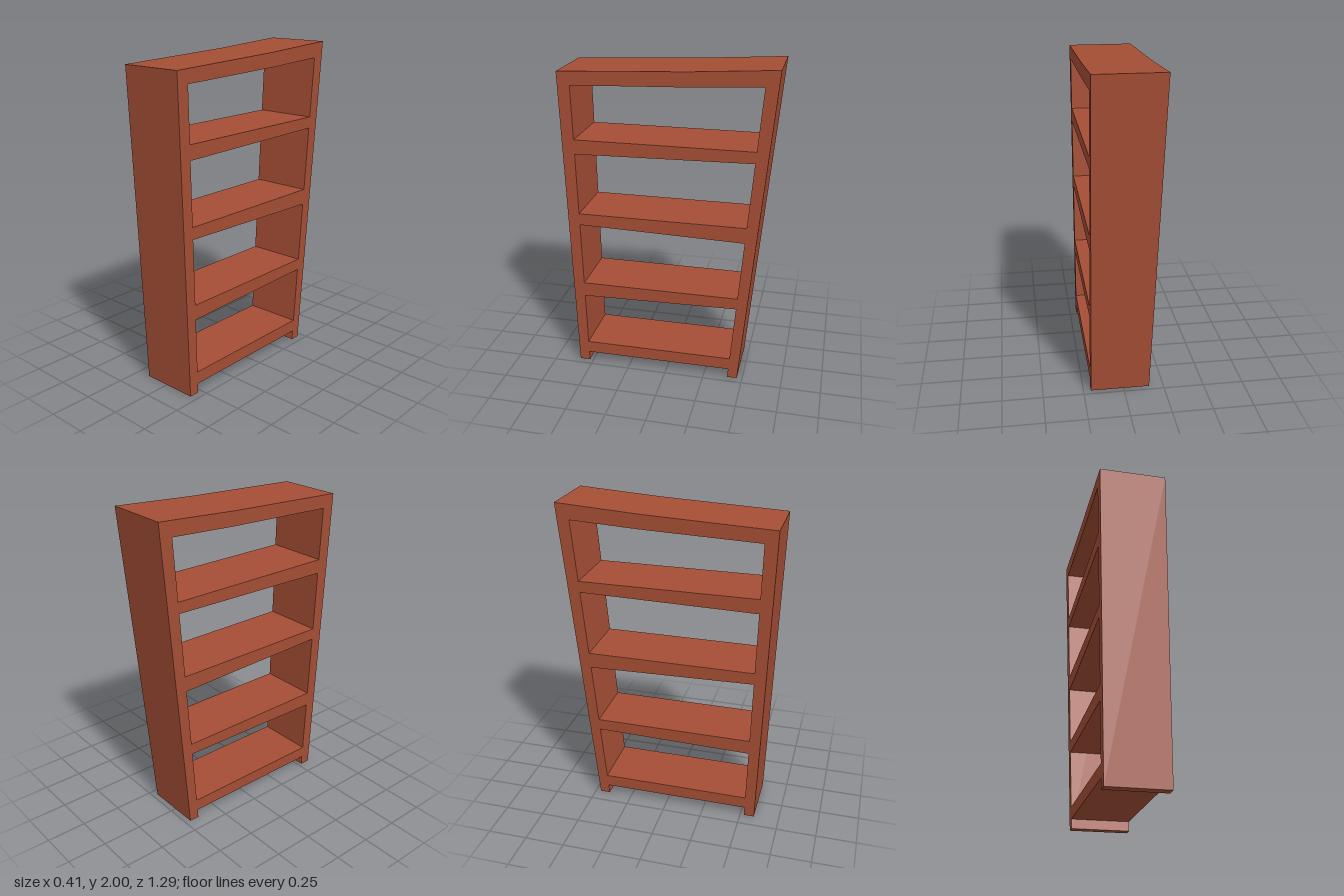
import * as THREE from 'three';

const RIGHT_X = 0.204; // upright flat face
const slantX = (y) => -0.161 - 0.0215 * y; // gently leaning opposite face

// Inner faces of the two uprights, z as a function of height
const innerFront = (y) => 0.525 + 0.0232 * y;
const innerBack = (y) => -0.403 - 0.0835 * y;

export function createModel() {
  const group = new THREE.Group();
  group.name = 'bookcase';
  const material = new THREE.MeshStandardMaterial({ color: 0xa54e35, flatShading: true });

  // A panel is a [z, y] outline run across the full depth of the case
  function addPanel(name, outline) {
    const shape = new THREE.Shape(outline.map(([z, y]) => new THREE.Vector2(-z, y)));
    const geometry = new THREE.ExtrudeGeometry(shape, { depth: 1, bevelEnabled: false });
    geometry.rotateY(Math.PI / 2);
    const pos = geometry.attributes.position;
    for (let i = 0; i < pos.count; i++) {
      pos.setX(i, THREE.MathUtils.lerp(slantX(pos.getY(i)), RIGHT_X, pos.getX(i)));
    }
    geometry.computeVertexNormals();
    const mesh = new THREE.Mesh(geometry, material);
    mesh.name = name;
    group.add(mesh);
  }

  // Uprights, mitred into the top board
  const frontTop = [0.647, 1.936], backTop = [-0.647, 2.0];
  const frontInner = [innerFront(1.857), 1.857], backInner = [innerBack(1.903), 1.903];
  addPanel('frontUpright', [[0.59, 0], frontTop, frontInner, [innerFront(0), 0]]);
  addPanel('backUpright', [[-0.466, 0], [innerBack(0), 0], backInner, backTop]);

  // Slightly bent, sloping top board
  addPanel('topBoard', [frontTop, [-0.13, 1.968], backTop, backInner, [-0.15, 1.881], frontInner]);

  // Shelves: level tops, uneven undersides [top, underside front, underside back]
  const shelves = [
    [0.138, 0.06, 0.06],
    [0.576, 0.484, 0.504],
    [1.055, 0.981, 0.956],
    [1.53, 1.44, 1.459],
  ];
  shelves.forEach(([top, front, back], i) => {
    addPanel(`shelf${i + 1}`, [
      [innerFront(front), front],
      [innerFront(top), top],
      [innerBack(top), top],
      [innerBack(back), back],
    ]);
  });

  return group;
}
